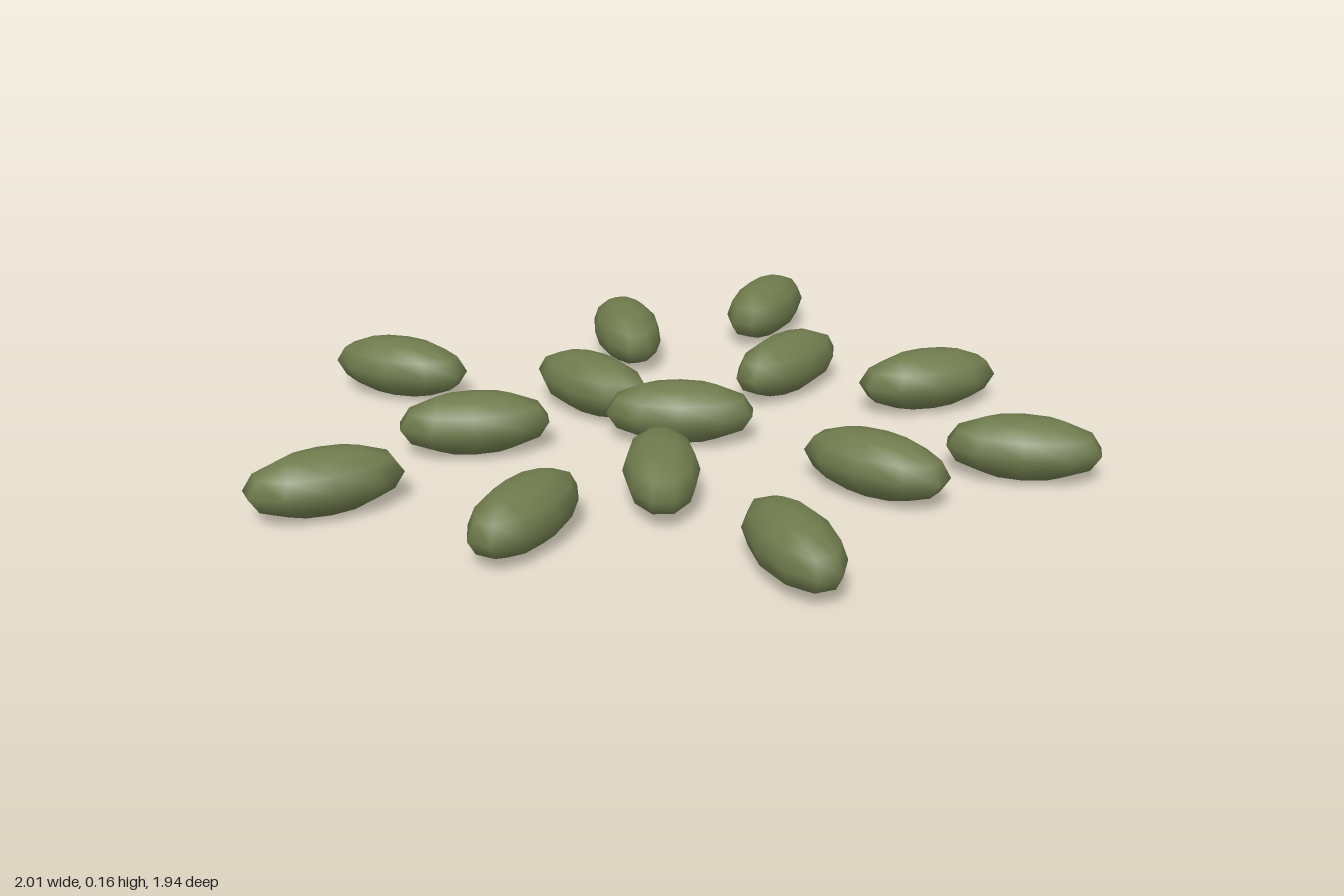
import * as THREE from 'three';

// Centre x, centre z, and long-axis direction (dx, dz) of each olive on the ground
const olives = [
  [0.19, -0.79, 24, -62],
  [-0.205, -0.567, 17, 66],
  [-0.795, -0.257, 63, 23],
  [-0.265, -0.145, 46, 41],
  [-0.03, 0.043, 65, 1],
  [0.245, -0.318, 38, -50],
  [0.617, -0.21, 63, -24],
  [-0.54, 0.134, 65, -12],
  [-0.837, 0.5, 57, -30],
  [-0.355, 0.652, 27, -57],
  [-0.06, 0.41, 5, 67],
  [0.447, 0.356, 55, 37],
  [0.81, 0.246, 66, 10],
  [0.243, 0.786, 26, 60],
];

// Low-poly ellipsoid with an edge (not a corner) at each blunt end
function oliveGeometry() {
  const geometry = new THREE.SphereGeometry(1, 10, 6);
  geometry.rotateY(Math.PI / 10);
  geometry.scale(0.194, 0.079, 0.092);
  return geometry;
}

export function createModel() {
  const group = new THREE.Group();
  group.name = 'scatteredOlives';
  const oliveGreen = new THREE.MeshStandardMaterial({ color: 0x6f7b4d });
  oliveGreen.name = 'oliveGreen';
  const geometry = oliveGeometry();

  olives.forEach(([x, z, dx, dz], i) => {
    const olive = new THREE.Mesh(geometry, oliveGreen);
    olive.name = `olive${i + 1}`;
    olive.position.set(x, 0.087, z);
    olive.rotation.y = Math.atan2(-dz, dx);
    group.add(olive);
  });
  return group;
}
